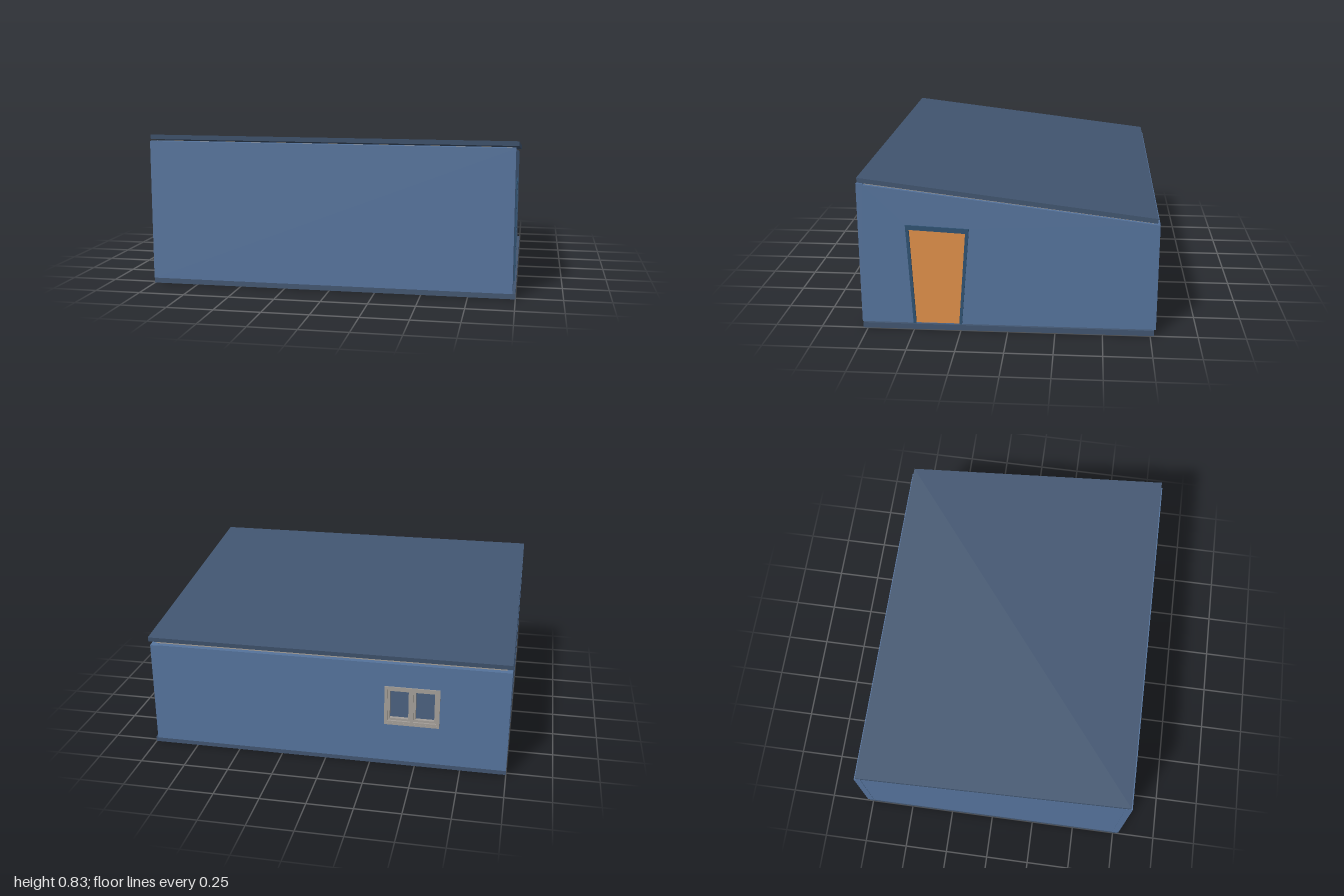
import * as THREE from 'three';

const mat = (color) => new THREE.MeshStandardMaterial({ color, flatShading: true });
const wallMat = mat(0x55739c);
const slabMat = mat(0x415570);
const trimMat = mat(0x2f5272);
const doorMat = mat(0xe0904a);
const greyMat = mat(0xa39e98);

const points = (list) => list.map(([a, b]) => new THREE.Vector2(a, b));

export function createModel() {
  const group = new THREE.Group();

  function add(parent, name, geometry, material) {
    const mesh = new THREE.Mesh(geometry, material);
    mesh.name = name;
    parent.add(mesh);
    return mesh;
  }
  // box from its minimum and maximum corners
  function box(parent, name, a, b, material) {
    const g = new THREE.BoxGeometry(b[0] - a[0], b[1] - a[1], b[2] - a[2]);
    g.translate((a[0] + b[0]) / 2, (a[1] + b[1]) / 2, (a[2] + b[2]) / 2);
    return add(parent, name, g, material);
  }
  // outline in (z, y), extruded along x from x0 to x1
  function sidePanel(name, outline, x0, x1, material, hole) {
    const shape = new THREE.Shape(points(outline));
    if (hole) shape.holes.push(new THREE.Path(points(hole)));
    const g = new THREE.ExtrudeGeometry(shape, { depth: x1 - x0, bevelEnabled: false });
    g.rotateY(-Math.PI / 2).translate(x1, 0, 0);
    return add(group, name, g, material);
  }

  // floor and sloping roof
  box(group, 'floor', [-1, 0, -0.77], [1, 0.03, 0.775], slabMat);
  sidePanel('roof', [[-0.765, 0.625], [0.77, 0.81], [0.773, 0.835], [-0.768, 0.65]], -1, 1, slabMat);
  sidePanel('ceilingLining', [[-0.75, 0.612], [0.745, 0.79], [0.745, 0.801], [-0.75, 0.621]],
    -0.97, 0.965, greyMat);

  // door opening, door and frame, wider at the top
  const opening = [[0.26, 0.031], [0.49, 0.031], [0.515, 0.557], [0.22, 0.542]];
  const outer = [[0.245, 0.031], [0.505, 0.031], [0.533, 0.582], [0.2, 0.567]];
  const frame = [[0.245, 0.031], [0.26, 0.031], [0.22, 0.542], [0.515, 0.557],
    [0.49, 0.031], [0.505, 0.031], [0.533, 0.582], [0.2, 0.567]];
  sidePanel('door', opening, 0.955, 0.982, doorMat);
  sidePanel('doorFrame', frame, 0.94, 0.992, trimMat);

  // side walls with sloping tops
  sidePanel('leftWall', [[-0.78, 0.03], [0.745, 0.03], [0.745, 0.792], [-0.78, 0.61]],
    0.945, 0.985, wallMat, outer);
  sidePanel('rightWall', [[-0.742, 0.03], [0.745, 0.03], [0.745, 0.795], [-0.742, 0.616]],
    -0.998, -0.96, wallMat);

  // front wall, and back wall with a window opening
  box(group, 'frontWall', [-1, 0.03, 0.745], [0.985, 0.8, 0.782], wallMat);
  const win = { x0: -0.63, x1: -0.33, y0: 0.26, y1: 0.48 };
  const rect = (x0, y0, x1, y1) => points([[x0, y0], [x1, y0], [x1, y1], [x0, y1]]);
  function rectFrame(parent, name, x0, y0, x1, y1, w, z0, z1, material) {
    const shape = new THREE.Shape(rect(x0, y0, x1, y1));
    shape.holes.push(new THREE.Path(rect(x0 + w, y0 + w, x1 - w, y1 - w)));
    const g = new THREE.ExtrudeGeometry(shape, { depth: z1 - z0, bevelEnabled: false });
    return add(parent, name, g.translate(0, 0, z0), material);
  }
  const back = new THREE.Shape(rect(-1, 0.03, 0.945, 0.612));
  back.holes.push(new THREE.Path(rect(win.x0 + 0.005, win.y0 + 0.005, win.x1 - 0.005, win.y1 - 0.005)));
  const backGeo = new THREE.ExtrudeGeometry(back, { depth: 0.038, bevelEnabled: false });
  add(group, 'backWall', backGeo.translate(0, 0, -0.78), wallMat);

  // window: outer frame, mullion, two open sashes and sill
  const windowGroup = new THREE.Group();
  windowGroup.name = 'window';
  group.add(windowGroup);
  const mid = (win.x0 + win.x1) / 2;
  rectFrame(windowGroup, 'windowFrame', win.x0, win.y0, win.x1, win.y1, 0.017, -0.786, -0.74, greyMat);
  box(windowGroup, 'mullion', [mid - 0.008, win.y0 + 0.017, -0.784], [mid + 0.008, win.y1 - 0.017, -0.742], greyMat);
  for (const [a, b] of [[win.x0 + 0.017, mid - 0.008], [mid + 0.008, win.x1 - 0.017]]) {
    rectFrame(windowGroup, 'sash', a, win.y0 + 0.017, b, win.y1 - 0.017, 0.012, -0.775, -0.755, greyMat);
  }
  box(windowGroup, 'sill', [win.x0, win.y0 - 0.006, -0.787], [win.x1, win.y0 + 0.006, -0.75], greyMat);

  return group;
}
